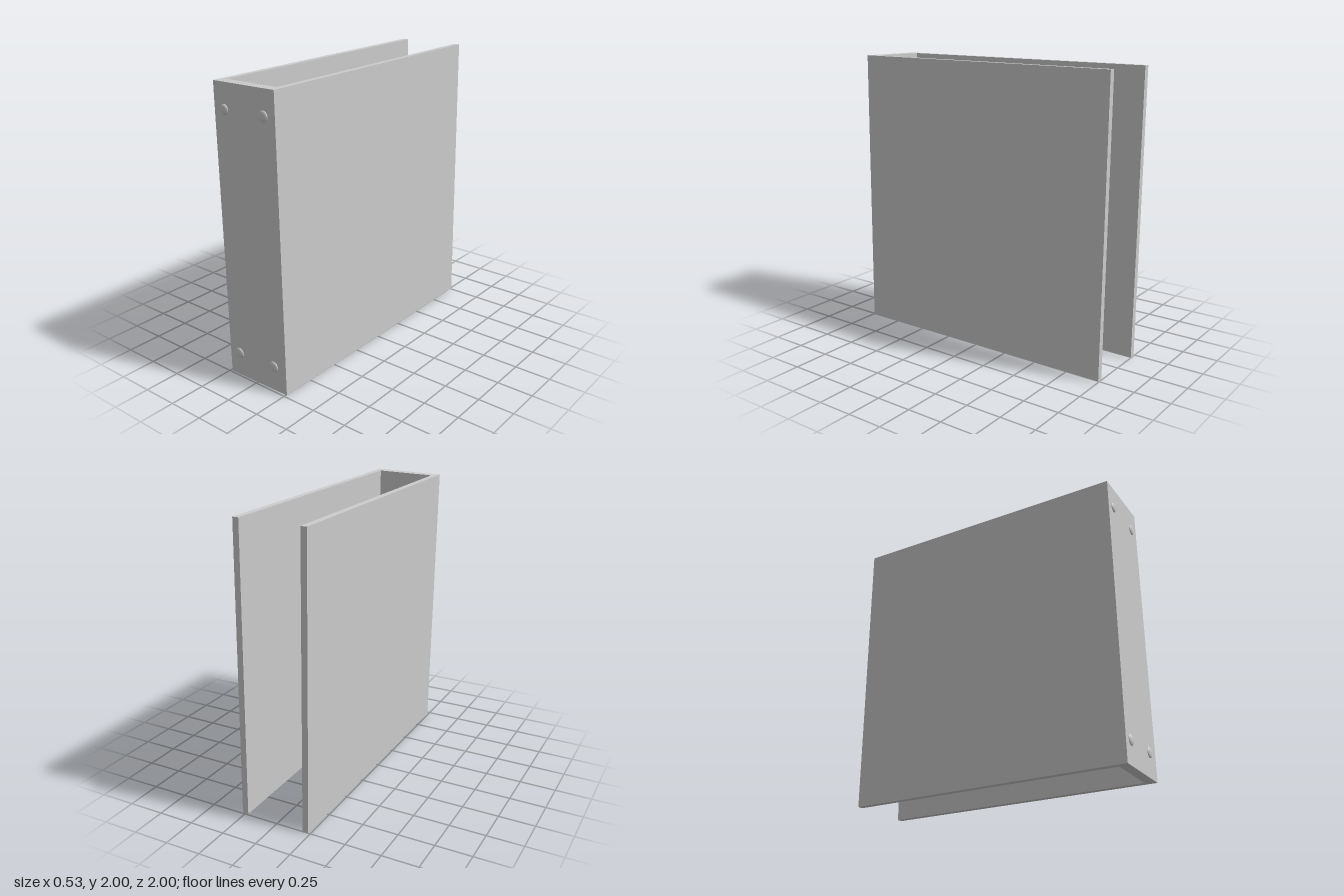
import * as THREE from 'three';

export function createModel() {
  const model = new THREE.Group();
  const material = new THREE.MeshStandardMaterial({ color: 0xcccccc });

  // Whole cover leans slightly about the z axis
  const cover = new THREE.Group();
  cover.name = 'leaningCover';
  cover.position.y = 1;
  cover.rotation.z = 0.015;
  model.add(cover);

  const w = 0.25, height = 1.9925, wall = 0.042;
  const front = 0.988, back = -1, inner = 0.917;

  // U-shaped channel, drawn in plan (shape y = -z) and extruded upwards
  const plan = [
    [-w, back], [-w, front], [w, front], [w, back],
    [w - wall, back], [w - wall, inner], [-w + wall, inner], [-w + wall, back],
  ].map(([x, z]) => new THREE.Vector2(x, -z));
  const channelGeometry = new THREE.ExtrudeGeometry(new THREE.Shape(plan), {
    depth: height, bevelEnabled: false,
  });
  channelGeometry.rotateX(-Math.PI / 2);
  channelGeometry.translate(0, -height / 2, 0);
  const channel = new THREE.Mesh(channelGeometry, material);
  channel.name = 'channelWalls';
  cover.add(channel);

  // Shallow domed studs on the front face: x, y, radius
  const studs = [
    [-0.168, 0.827, 0.034], [0.155, 0.829, 0.037],
    [-0.167, -0.831, 0.037], [0.145, -0.825, 0.037],
  ];
  const dome = new THREE.SphereGeometry(1, 24, 12, 0, Math.PI * 2, 0, Math.PI / 2);
  dome.rotateX(Math.PI / 2);
  studs.forEach(([x, y, r], i) => {
    const stud = new THREE.Mesh(dome, material);
    stud.name = `stud${i + 1}`;
    stud.position.set(x, y, front);
    stud.scale.set(r, r, 0.012);
    cover.add(stud);
  });

  return model;
}
